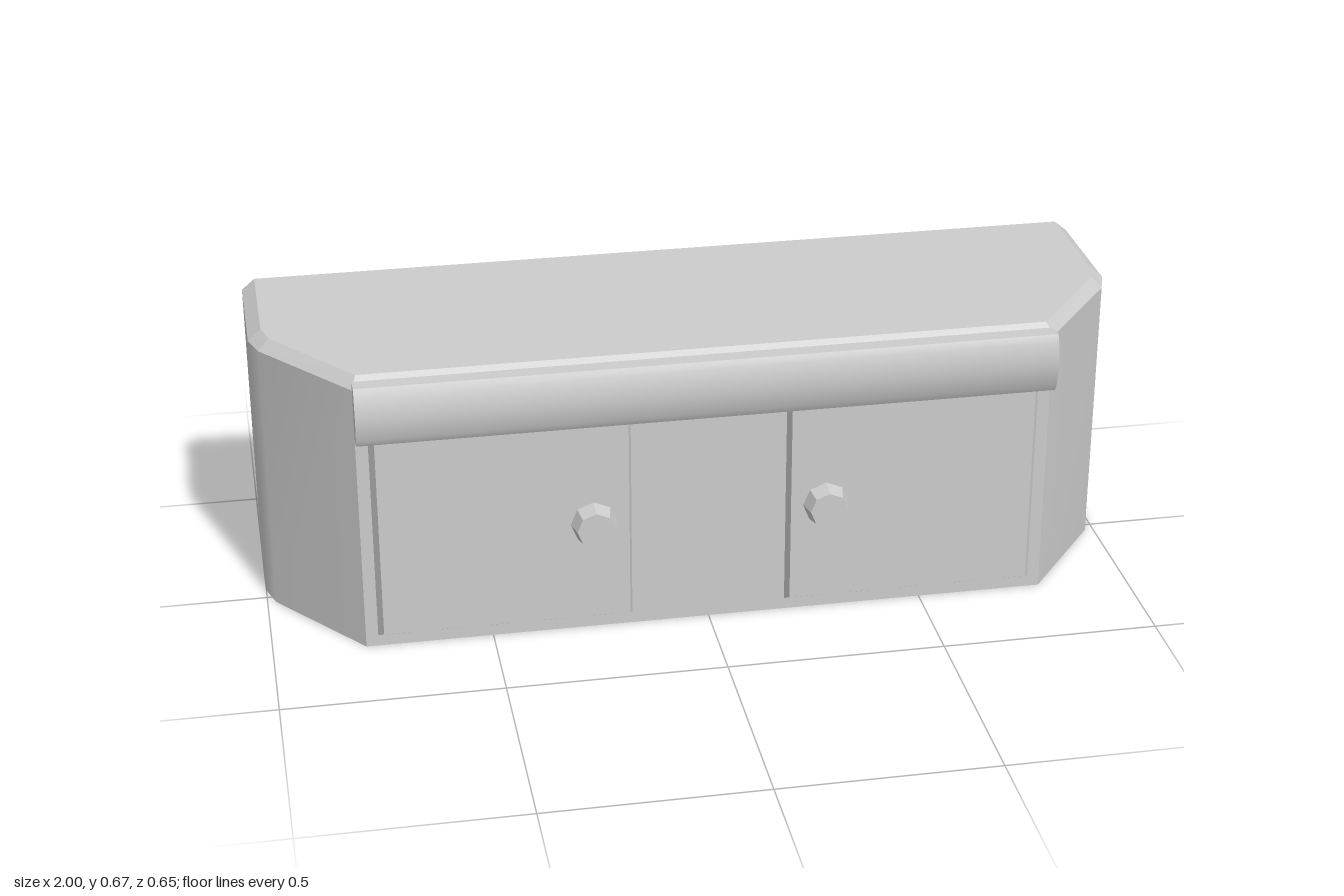
import * as THREE from 'three';
import { toCreasedNormals } from 'three/addons/utils/BufferGeometryUtils.js';

// Surface between rows of points, outward when rows run left to right, bottom to top
function loft(rows, flat) {
  const n = rows[0].length, index = [];
  for (let r = 0; r < rows.length - 1; r++) {
    for (let i = 0; i < n - 1; i++) {
      const a = r * n + i, b = a + n;
      index.push(a, a + 1, b + 1, a, b + 1, b);
    }
  }
  let geo = new THREE.BufferGeometry();
  geo.setAttribute('position', new THREE.Float32BufferAttribute(rows.flat(2), 3));
  geo.setIndex(index);
  if (flat) geo = geo.toNonIndexed();
  geo.computeVertexNormals();
  return geo;
}

// Rectangle corners, counter-clockwise from the lower left
const rect = (x0, y0, x1, y1) => [[x0, y0], [x1, y0], [x1, y1], [x0, y1]];
const toShape = (pts) => new THREE.Shape(pts.map(([x, y]) => new THREE.Vector2(x, y)));

export function createModel() {
  const group = new THREE.Group();
  const grey = new THREE.MeshStandardMaterial({ color: 0xcccccc, side: THREE.DoubleSide });
  grey.name = 'light grey';
  const add = (name, geo, parent = group) => {
    const mesh = new THREE.Mesh(geo, grey);
    mesh.name = name;
    parent.add(mesh);
    return mesh;
  };

  const frontZ = 0.265, backZ = -0.325, rimY = 0.645, topY = 0.67;
  // Half plans (x, z) from front to back, outside the rim and on the top
  const outer = [[0.79, frontZ], [0.98, 0.025], [1, -0.035], [1, backZ]];
  const inner = [[0.78, 0.24], [0.955, 0.015], [0.97, -0.04], [0.97, backZ]];
  const mirrored = (pts) => pts.map(([x, z]) => [-x, z]).reverse();
  const at = (pts, y) => pts.map(([x, z]) => [x, y, z]);

  // Side walls
  add('leftWall', loft([at(outer, 0), at(outer, rimY)]));
  add('rightWall', loft([at(mirrored(outer), 0), at(mirrored(outer), rimY)]));

  // Sloping rim and top
  const outerPlan = [...mirrored(outer), ...outer];
  const innerPlan = [...mirrored(inner), ...inner];
  add('topRim', loft([at(outerPlan, rimY), at(innerPlan, topY)], true));
  const top = new THREE.ShapeGeometry(toShape(innerPlan.map(([x, z]) => [x, -z])));
  add('top', top.rotateX(-Math.PI / 2).translate(0, topY, 0));

  // Front panel, open behind the doors
  const panel = toShape(rect(-0.79, 0, 0.79, rimY));
  const doorZ = 0.287;
  for (const side of [-1, 1]) {
    const door = new THREE.Group();
    door.name = side > 0 ? 'leftDoor' : 'rightDoor';
    group.add(door);

    const span = (a, b) => (side > 0 ? [a, b] : [-b, -a]);
    const [ox0, ox1] = span(0.178, 0.762);
    const [ix0, ix1] = span(0.186, 0.75);
    const base = rect(ox0, 0.027, ox1, 0.527);
    const face = rect(ix0, 0.04, ix1, 0.521);
    panel.holes.push(toShape(base));

    // Raised door with bevelled edges
    const ring = (pts, z) => [...pts, pts[0]].map(([x, y]) => [x, y, z]);
    add('doorBevel', loft([ring(base, frontZ), ring(face, doorZ)], true), door);
    add('doorFace', new THREE.ShapeGeometry(toShape(face)).translate(0, 0, doorZ), door);

    // Eight-sided tapered knob
    const knob = new THREE.CylinderGeometry(0.043, 0.053, 0.038, 8).toNonIndexed();
    knob.computeVertexNormals();
    add('doorKnob', knob.rotateX(Math.PI / 2), door)
      .position.set(side * 0.267, 0.279, doorZ + 0.019);
  }
  add('frontPanel', new THREE.ShapeGeometry(panel).translate(0, 0, frontZ));

  // Rounded rail along the upper front
  const railProfile = toShape([
    [frontZ, 0.527], [0.302, 0.527], [0.311, 0.543], [0.321, 0.597],
    [0.311, 0.65], [0.302, 0.666], [frontZ, 0.666],
  ]);
  const rail = new THREE.ExtrudeGeometry(railProfile, { depth: 1.58, bevelEnabled: false });
  rail.translate(0, 0, -0.79).rotateY(-Math.PI / 2);
  add('frontRail', toCreasedNormals(rail, 0.6));

  return group;
}
